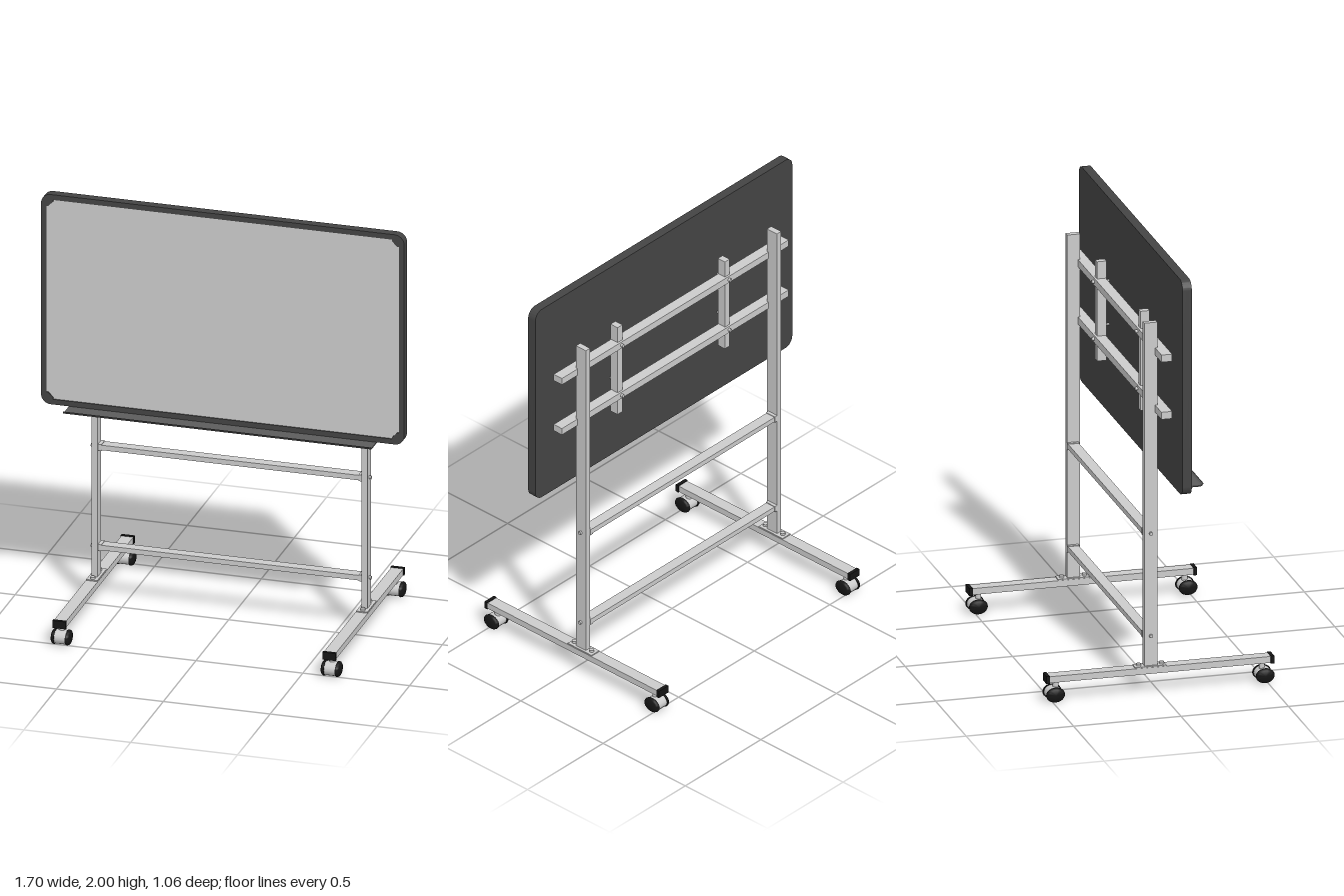
import * as THREE from 'three';
import { toCreasedNormals } from 'three/addons/utils/BufferGeometryUtils.js';

const mat = (color) => new THREE.MeshStandardMaterial({ color });

export function createModel() {
  const model = new THREE.Group();
  const grey = mat(0xcccccc), dark = mat(0x444444), black = mat(0x151515), trayMat = mat(0x5c5c5c);

  function add(name, geo, material, x = 0, y = 0, z = 0, parent = model) {
    const mesh = new THREE.Mesh(geo, material);
    mesh.name = name;
    mesh.position.set(x, y, z);
    parent.add(mesh);
    return mesh;
  }
  // Box given by its limits on each axis
  const box = (name, m, [x0, x1], [y0, y1], [z0, z1], parent) =>
    add(name, new THREE.BoxGeometry(x1 - x0, y1 - y0, z1 - z0), m,
      (x0 + x1) / 2, (y0 + y1) / 2, (z0 + z1) / 2, parent);
  // Cylinder along a chosen axis
  function rod(name, m, r, len, axis, x, y, z, parent) {
    const geo = new THREE.CylinderGeometry(r, r, len, 16);
    if (axis === 'x') geo.rotateZ(Math.PI / 2);
    if (axis === 'z') geo.rotateX(Math.PI / 2);
    return add(name, geo, m, x, y, z, parent);
  }
  // Rectangle with rounded corners
  function roundedRect(path, w, h, r) {
    path.moveTo(w - r, -h);
    path.absarc(w - r, -h + r, r, -Math.PI / 2, 0);
    path.absarc(w - r, h - r, r, 0, Math.PI / 2);
    path.absarc(-w + r, h - r, r, Math.PI / 2, Math.PI);
    path.absarc(-w + r, -h + r, r, Math.PI, Math.PI * 1.5);
    path.closePath();
    return path;
  }

  // Board: backing, rim with chamfered window, writing panel
  const W = 0.85, H = 0.508, CY = 1.492;
  const slab = (shape, depth) => toCreasedNormals(
    new THREE.ExtrudeGeometry(shape, { depth, bevelEnabled: false, curveSegments: 8 }), 0.6);
  add('boardBack', slab(roundedRect(new THREE.Shape(), W, H, 0.045), 0.03), dark, 0, CY, 0.05);
  const rim = roundedRect(new THREE.Shape(), W, H, 0.045);
  const w = W - 0.025, h = H - 0.025, c = 0.032;
  rim.holes.push(new THREE.Path([
    [w - c, -h], [w - c, -h + 0.008], [w - 0.008, -h + c], [w, -h + c],
    [w, h - c], [w - 0.008, h - c], [w - c, h - 0.008], [w - c, h],
    [-w + c, h], [-w + c, h - 0.008], [-w + 0.008, h - c], [-w, h - c],
    [-w, -h + c], [-w + 0.008, -h + c], [-w + c, -h + 0.008], [-w + c, -h],
  ].map(([x, y]) => new THREE.Vector2(x, y))));
  add('boardRim', slab(rim, 0.013), dark, 0, CY, 0.08);
  box('writingPanel', grey, [-w, w], [CY - h, CY + h], [0.075, 0.088]);

  // Pen tray with upturned lip
  const trayShape = new THREE.Shape([
    [0.06, 0.979], [0.168, 0.979], [0.178, 0.983], [0.185, 0.993],
    [0.181, 0.994], [0.175, 0.987], [0.167, 0.984], [0.06, 0.984],
  ].map(([z, y]) => new THREE.Vector2(z, y)));
  const trayGeo = new THREE.ExtrudeGeometry(trayShape, { depth: 1.44, bevelEnabled: false });
  trayGeo.translate(0, 0, -0.72).rotateY(-Math.PI / 2);
  add('penTray', trayGeo, trayMat);

  // Horizontal mounting rails
  for (const y of [1.612, 1.341])
    box('mountingRail', grey, [-0.75, 0.75], [y - 0.017, y + 0.017], [-0.02, 0.03]);

  // Cross bars between the posts
  for (const y of [0.753, 0.268])
    box('crossBar', grey, [-0.61, 0.61], [y - 0.012, y + 0.012], [-0.07, -0.02]);

  // Caster wheel profile, turned about the axle
  const wheelGeo = new THREE.LatheGeometry([
    [0, -0.008], [0.034, -0.008], [0.035, -0.003], [0.033, 0.003], [0.027, 0.008], [0, 0.009],
  ].map(([r, y]) => new THREE.Vector2(r, y)), 24);
  wheelGeo.rotateZ(-Math.PI / 2);
  wheelGeo.scale(1, 1, 1.25);
  const creasedWheel = toCreasedNormals(wheelGeo, 0.7);

  function caster(x, z) {
    const g = new THREE.Group();
    g.name = 'caster';
    g.position.set(x, 0.035, z);
    model.add(g);
    for (const s of [-1, 1]) {
      const wheel = add('casterWheel', creasedWheel, black, s * 0.034, 0, 0, g);
      if (s < 0) wheel.rotation.y = Math.PI;
    }
    rod('casterBody', grey, 0.032, 0.054, 'x', 0, 0, 0, g).scale.z = 1.2;
    rod('casterStem', grey, 0.013, 0.05, 'y', 0, 0.037, -Math.sign(z) * 0.008, g);
  }

  for (const s of [-1, 1]) {
    const x = s * 0.632;
    // Post with base flange and bolts
    box('post', grey, [x - 0.014, x + 0.014], [0.12, 1.75], [-0.07, -0.01]);
    box('postFlange', grey, [x - 0.026, x + 0.026], [0.122, 0.128], [-0.115, 0.03]);
    for (const z of [-0.093, 0.013])
      rod('flangeBolt', grey, 0.011, 0.012, 'y', x, 0.132, z);
    // Cross bar end plates and bolts
    for (const y of [0.753, 0.268]) {
      box('crossBarPlate', grey, [s * 0.61 - 0.008, s * 0.61 + 0.008],
        [y - 0.015, y + 0.015], [-0.072, -0.018]);
      rod('crossBarBolt', grey, 0.008, 0.012, 'x', s * 0.65, y, -0.04);
    }
    // Foot with end caps and casters
    box('foot', grey, [x - 0.028, x + 0.028], [0.093, 0.123], [-0.516, 0.516]);
    for (const e of [-1, 1]) {
      add('footCap', new THREE.BoxGeometry(0.062, 0.036, 0.016), black, x, 0.108, e * 0.522);
      caster(x, e * 0.488);
    }
    // Hanger bracket with studs to the board
    const hx = s * 0.355;
    box('hanger', grey, [hx - 0.016, hx + 0.016], [1.24, 1.71], [-0.01, 0.033]);
    for (const y of [1.612, 1.405])
      rod('hangerStud', grey, 0.005, 0.03, 'z', hx, y, 0.04);
    for (const y of [1.612, 1.341])
      rod('railBolt', grey, 0.008, 0.016, 'z', hx, y, -0.024);
  }
  return model;
}
